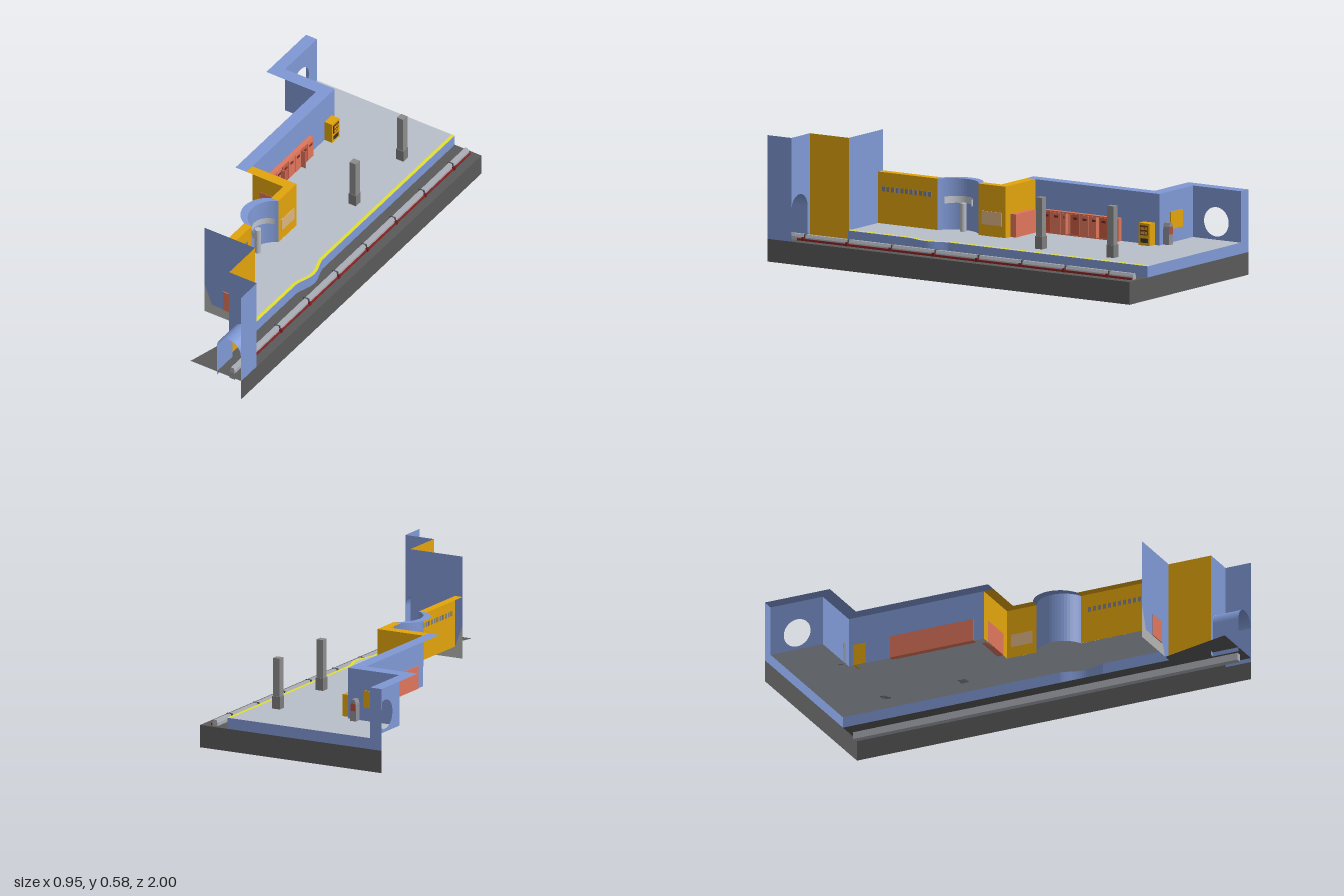
import * as THREE from 'three';

const BLUE = 0x7f98d4, YELLOW = 0xe2a40c, RED = 0xe0765c, DARK = 0x5a5a5a;
const FLOOR = 0.157, BED = 0.105, LOW = 0.395, TALL = 0.585;

export function createModel() {
  const root = new THREE.Group();
  const mats = new Map();
  const mat = (color) => {
    if (!mats.has(color)) mats.set(color, new THREE.MeshStandardMaterial({ color, side: THREE.DoubleSide }));
    return mats.get(color);
  };
  const add = (name, geo, color, parent = root) => {
    const m = new THREE.Mesh(geo, mat(color));
    m.name = name;
    parent.add(m);
    return m;
  };
  // box given by its extents
  const box = (name, color, [x0, x1], [y0, y1], [z0, z1], parent) => add(name,
    new THREE.BoxGeometry(x1 - x0, y1 - y0, z1 - z0)
      .translate((x0 + x1) / 2, (y0 + y1) / 2, (z0 + z1) / 2), color, parent);
  // upright sheet along a plan path of [x, z] points
  const sheet = (name, color, path, y0, y1) => {
    const pos = [], idx = [];
    for (let i = 0; i < path.length - 1; i++) {
      const [a, b] = [path[i], path[i + 1]], n = i * 4;
      pos.push(a[0], y0, a[1], b[0], y0, b[1], b[0], y1, b[1], a[0], y1, a[1]);
      idx.push(n, n + 1, n + 2, n, n + 2, n + 3);
    }
    const g = new THREE.BufferGeometry();
    g.setAttribute('position', new THREE.Float32BufferAttribute(pos, 3));
    g.setIndex(idx);
    g.computeVertexNormals();
    return add(name, g, color);
  };
  const shapeOf = (pts) => new THREE.Shape(pts.map(([x, y]) => new THREE.Vector2(x, y)));
  // flat horizontal sheet from [x, z] points
  const slab = (name, color, pts, y) => add(name,
    new THREE.ShapeGeometry(shapeOf(pts.map(([x, z]) => [x, -z]))).rotateX(-Math.PI / 2).translate(0, y, 0), color);
  // upright panel in the x-y plane
  const panel = (name, color, shape, z) => add(name, new THREE.ShapeGeometry(shape, 24).translate(0, 0, z), color);
  const shift = (pts, dx) => pts.map(([x, z]) => [x + dx, z]);

  // curved plan lines: wall alcove and platform edge with its bulge
  const alcove = [], edge = [[0.33, -1]];
  const R = 0.125, half = Math.asin(0.1125 / R);
  for (let i = 0; i <= 20; i++) {
    const a = half * (i / 10 - 1);
    alcove.push([0.02 + R - R * Math.cos(a), 0.2125 + R * Math.sin(a)]);
    const t = i / 10 - 1;
    edge.push([0.33 + 0.027 * Math.cos(t * Math.PI / 2) ** 1.5, 0.21 + 0.11 * t]);
  }
  edge.push([0.33, 0.655]);

  // base skirts and track bed
  sheet('baseSkirt', DARK, [[-0.48, -1], [0.475, -1], [0.475, 1]], 0, BED);
  slab('trackBed', DARK, [[0.33, -1], [0.475, -1], [0.475, 1], [0.2, 1], [0.29, 0.655], [0.33, 0.655]], BED);

  // platform
  slab('platformFloor', 0xb9bfca, [[-0.42, -1], ...edge, [0.09, 0.655], ...[...alcove].reverse(),
    [0.09, -0.05], [-0.15, -0.05], [-0.15, -0.735], [-0.42, -0.735]], FLOOR);
  slab('edgeLine', 0xe4e02a, [...shift(edge, -0.016), ...[...edge].reverse()], FLOOR + 0.002);
  sheet('platformRiser', BLUE, edge, BED, FLOOR);
  sheet('backRiser', BLUE, [[-0.48, -1], [0.33, -1]], BED, FLOOR);

  // low walls
  sheet('wallEnd', BLUE, [[-0.48, -1], [-0.42, -1]], FLOOR, LOW);
  const holed = shapeOf([[-1, FLOOR], [-0.735, FLOOR], [-0.735, LOW], [-1, LOW]]);
  holed.holes.push(new THREE.Path().absarc(-0.865, 0.24, 0.068, 0, Math.PI * 2, true));
  add('roundOpeningWall', new THREE.ShapeGeometry(holed, 20).rotateY(-Math.PI / 2).translate(-0.42, 0, 0), BLUE);
  sheet('blueWall', BLUE, [[-0.42, -0.735], [-0.15, -0.735], [-0.15, -0.05]], FLOOR, LOW);
  sheet('kioskWall', YELLOW, [[-0.15, -0.05], [0.09, -0.05], [0.09, 0.1]], FLOOR, LOW);
  sheet('alcoveWall', BLUE, alcove, FLOOR, LOW);
  sheet('ventWall', YELLOW, [[0.09, 0.325], [0.09, 0.655]], FLOOR, LOW);

  // wall tops
  slab('blueWallTop', BLUE, [[-0.48, -1], [-0.42, -1], [-0.42, -0.735], [-0.15, -0.735], [-0.15, 0],
    [-0.21, 0], [-0.21, -0.67], [-0.48, -0.67]], LOW);
  slab('kioskWallTop', YELLOW, [[-0.15, -0.05], [0.09, -0.05], [0.09, 0.1], [0.05, 0.1], [0.05, 0], [-0.15, 0]], LOW);
  slab('alcoveWallTop', BLUE, [...alcove, ...shift(alcove, -0.04).reverse()], LOW);
  slab('ventWallTop', YELLOW, [[0.05, 0.325], [0.09, 0.325], [0.09, 0.655], [0.05, 0.655]], LOW);

  // tall end walls
  panel('tallWall', BLUE, shapeOf([[0.05, 0.26], [0.09, FLOOR], [0.265, FLOOR], [0.285, BED], [0.325, BED],
    [0.325, TALL], [0.05, TALL]]), 0.655);
  panel('tallWallFoot', 0xb4b4b2, shapeOf([[0.05, BED], [0.285, BED], [0.265, FLOOR], [0.09, FLOOR], [0.05, 0.26]]), 0.655);
  box('redDoor', RED, [0.153, 0.247], [FLOOR, 0.262], [0.656, 0.66]);
  sheet('yellowTallWall', YELLOW, [[0.325, 0.655], [0.325, 0.87]], BED, TALL);
  sheet('outerTallWall', BLUE, [[0.475, 0.87], [0.475, 1]], BED, TALL);

  // tunnel portal and its lining
  const portal = new THREE.Shape();
  portal.moveTo(0.325, 0.085).lineTo(0.343, 0.085).lineTo(0.343, 0.25);
  portal.absarc(0.408, 0.25, 0.065, Math.PI, 0, true);
  portal.lineTo(0.473, 0.085).lineTo(0.475, 0.085).lineTo(0.475, TALL).lineTo(0.325, TALL);
  panel('tunnelPortal', BLUE, portal, 0.87);
  add('tunnelVault', new THREE.CylinderGeometry(0.065, 0.065, 0.13, 24, 1, true, 0, Math.PI)
    .rotateX(Math.PI / 2).rotateZ(Math.PI / 2).translate(0.408, 0.25, 0.935), BLUE);
  for (const x of [0.343, 0.473]) sheet('tunnelSide', BLUE, [[x, 0.87], [x, 1]], 0.085, 0.25);

  // rail, joint collars and red conductor
  const railShape = shapeOf([[0.393, 0.07], [0.422, 0.07], [0.42, 0.12], [0.415, 0.133], [0.4, 0.133], [0.395, 0.12]]);
  add('rail', new THREE.ExtrudeGeometry(railShape, { depth: 1.95, bevelEnabled: false }).translate(0, 0, -0.98), 0xa9adb5);
  for (let i = 0; i < 8; i++) {
    const z = -0.85 + i * 0.24;
    box('railJoint', 0x55585e, [0.392, 0.422], [BED, 0.135], [z, z + 0.006]);
    box('conductorBracket', 0x7a2020, [0.422, 0.434], [BED, 0.122], [z, z + 0.012]);
  }
  box('conductorRail', 0x8a2525, [0.424, 0.43], [BED, 0.115], [-0.98, 0.87]);

  // columns
  for (const z of [-0.73, -0.335]) {
    const c = new THREE.Group();
    c.name = 'column';
    c.position.set(0.22, 0, z);
    root.add(c);
    box('columnShaft', 0x8c8c8c, [-0.017, 0.017], [FLOOR, LOW], [-0.017, 0.017], c);
    box('columnBase', 0x7c7c7c, [-0.02, 0.02], [FLOOR, 0.215], [-0.02, 0.02], c);
  }

  // alcove post with curved board
  add('post', new THREE.CylinderGeometry(0.015, 0.015, 0.13, 16).translate(0.05, FLOOR + 0.065, 0.21), 0xb8bcc4);
  add('curvedBoard', new THREE.CylinderGeometry(0.075, 0.075, 0.032, 20, 1, true, Math.PI * 1.05, Math.PI * 0.9)
    .translate(0.105, 0.3, 0.21), 0xc0c4cc);

  // lockers along the blue wall and a pair beside the kiosk
  box('lockerBody', RED, [-0.155, -0.128], [FLOOR, 0.264], [-0.525, -0.1]);
  for (let i = 0; i < 8; i++) {
    const z = -0.52 + i * 0.0525;
    box('lockerDoor', i % 3 === 1 ? 0xc95c45 : RED, [-0.128, -0.124], [0.165, 0.258], [z, z + 0.046]);
    box('lockerVent', 0x6e2c22, [-0.124, -0.122], [0.235, 0.245], [z + 0.012, z + 0.034]);
  }
  box('openLockerDoor', RED, [-0.124, -0.1], [0.165, 0.258], [-0.42, -0.416]);
  box('openLockerDoor', RED, [-0.124, -0.1], [0.165, 0.258], [-0.25, -0.246]);
  box('sideLocker', RED, [-0.11, 0.05], [FLOOR, 0.264], [-0.08, -0.048]);

  // ticket machine
  box('ticketMachine', YELLOW, [-0.152, -0.108], [FLOOR, 0.26], [-0.71, -0.65]);
  box('machineScreen', 0x6b3a2a, [-0.108, -0.105], [0.205, 0.25], [-0.702, -0.658]);
  for (let i = 0; i < 6; i++) {
    const y = 0.21 + Math.floor(i / 3) * 0.02, z = -0.698 + (i % 3) * 0.013;
    box('machineButton', YELLOW, [-0.105, -0.103], [y, y + 0.012], [z, z + 0.009]);
  }
  box('machineSlot', 0x333333, [-0.108, -0.106], [0.17, 0.19], [-0.7, -0.66]);

  // tapered dispenser and notice behind the back wall
  add('dispenser', new THREE.ExtrudeGeometry(shapeOf([[-0.212, FLOOR], [-0.18, FLOOR], [-0.182, 0.24], [-0.188, 0.258],
    [-0.204, 0.258], [-0.21, 0.24]]), { depth: 0.034, bevelEnabled: false }).translate(0, 0, -0.768), 0x8d8f98);
  box('dispenserFace', 0xb0503f, [-0.207, -0.185], [0.205, 0.24], [-0.771, -0.768]);
  box('backNotice', YELLOW, [-0.33, -0.235], [0.22, 0.3], [-0.741, -0.736]);

  // kiosk window and vent slots
  box('kioskWindow', 0xdcb483, [0.09, 0.093], [0.21, 0.272], [-0.03, 0.08]);
  for (let i = 0; i < 11; i++) {
    const z = 0.36 + i * 0.0255;
    box('ventSlot', 0x7d8088, [0.089, 0.093], [0.307, 0.33], [z, z + 0.016]);
  }
  return root;
}
